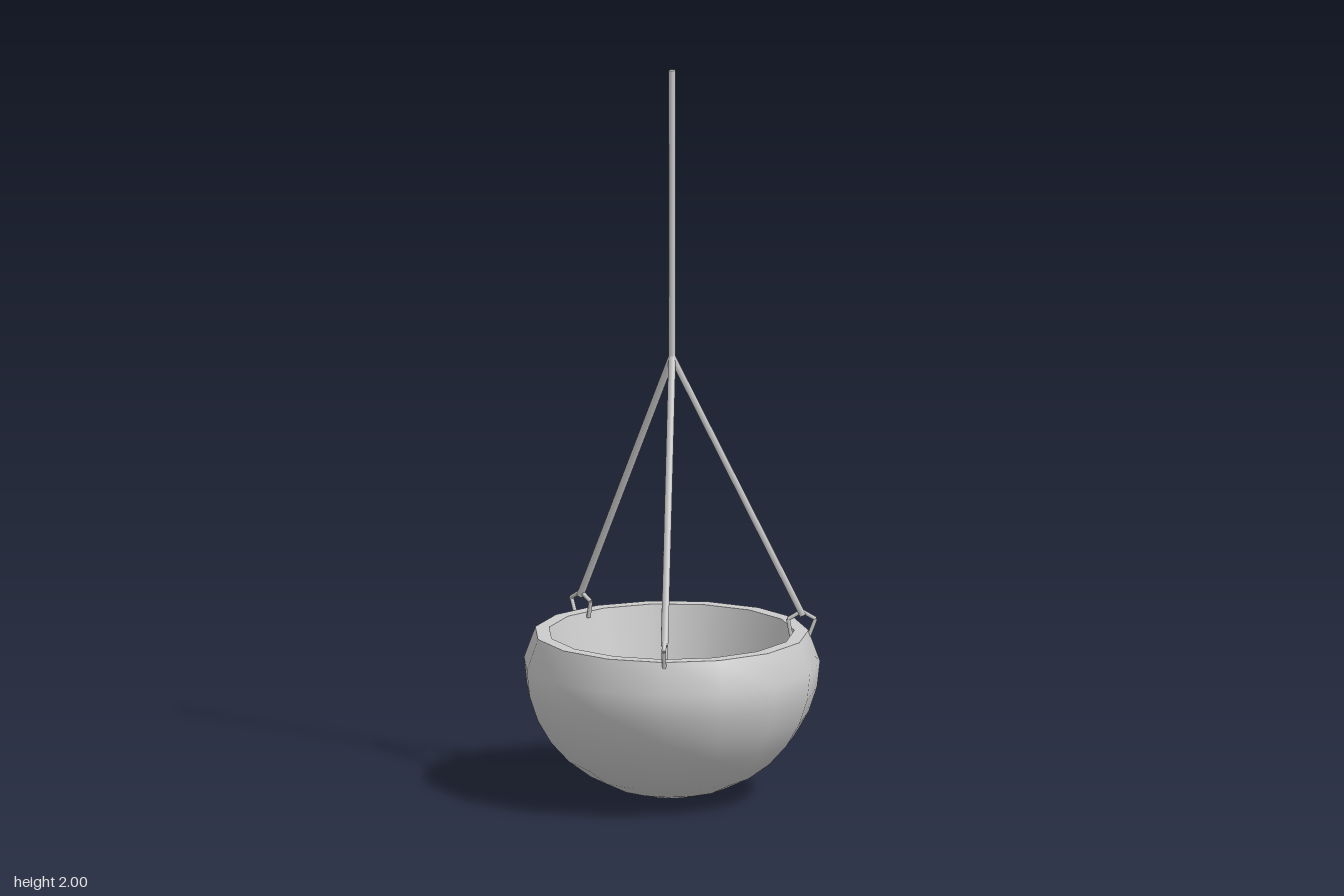
import * as THREE from 'three';

const SIDES = 15;
const material = new THREE.MeshStandardMaterial({ color: 0xcccccc });

const add = (parent, geometry, name) => {
  const mesh = new THREE.Mesh(geometry, material);
  mesh.name = name;
  parent.add(mesh);
  return mesh;
};

// Profile [radius, height] turned with one corner on +x
const turn = (profile) =>
  new THREE.LatheGeometry(profile.map(([r, y]) => new THREE.Vector2(r, y)), SIDES, Math.PI / 2);

// Straight round bar between two points
function bar(parent, a, b, radius, name) {
  const dir = b.clone().sub(a);
  const mesh = add(parent, new THREE.CylinderGeometry(radius, radius, dir.length(), 6), name);
  mesh.position.copy(a).add(b).multiplyScalar(0.5);
  mesh.quaternion.setFromUnitVectors(new THREE.Vector3(0, 1, 0), dir.normalize());
}

export function createModel() {
  const model = new THREE.Group();
  model.name = 'hangingPlanter';

  // Bowl: rounded shell, each hard-edged zone is its own lathe
  const bowl = new THREE.Group();
  bowl.name = 'bowl';
  bowl.position.x = -0.004;
  const shell = [];
  for (let i = 0; i <= 8; i++) {
    const t = (i / 8) * Math.PI / 2;
    shell.push([0.401 * Math.sin(t), 0.365 * (1 - Math.cos(t))]);
  }
  shell.push([0.37, 0.45]);
  add(bowl, turn(shell), 'bowlOutside');
  add(bowl, turn([[0.37, 0.45], [0.332, 0.45]]), 'bowlRim');
  add(bowl, turn([[0.332, 0.45], [0.262, 0.15]]), 'bowlInside');
  add(bowl, turn([[0.262, 0.15], [0, 0.15]]), 'bowlFloor');
  model.add(bowl);

  // Main cord up to the ceiling
  const v = (x, y) => new THREE.Vector3(x, y, 0);
  bar(model, v(0, 1.2), v(0, 2), 0.01, 'mainCord');

  // Three side cords, each ending in an open hook sunk into the rim
  const hookPath = [[-0.368, 0.435], [-0.386, 0.482], [-0.349, 0.504], [-0.312, 0.482], [-0.32, 0.437]];
  [0, 132, -132].forEach((degrees) => {
    const arm = new THREE.Group();
    arm.name = 'hangerArm';
    arm.rotation.y = THREE.MathUtils.degToRad(degrees);
    bar(arm, v(-0.352, 0.492), v(0, 1.21), 0.01, 'sideCord');
    const path = new THREE.CurvePath();
    for (let i = 1; i < hookPath.length; i++) {
      path.add(new THREE.LineCurve3(v(...hookPath[i - 1]), v(...hookPath[i])));
      bar(arm, v(...hookPath[i - 1]), v(...hookPath[i]), 0.006, 'hookSegment');
    }
    model.add(arm);
  });
  return model;
}
